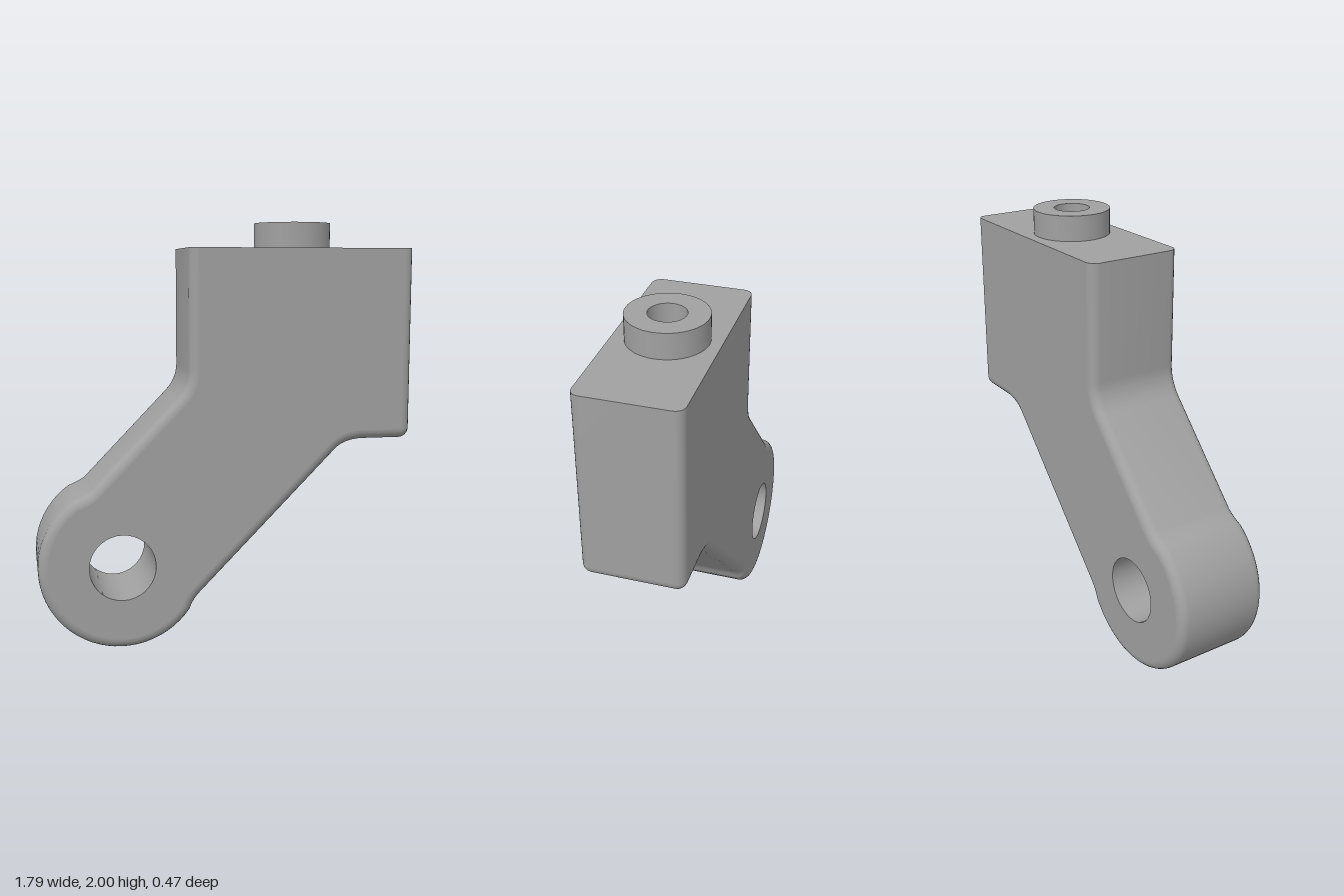
import * as THREE from 'three';
import { toCreasedNormals } from 'three/addons/utils/BufferGeometryUtils.js';

const TOP = 1.88, HALF = 0.235, ROUND = 0.045;
const EYE = { x: -0.507, y: 0.395, r: 0.393, bore: 0.157 };

// Side outline: block on top, slanted arm, round eye at the lower end
function armShape() {
  const s = new THREE.Shape();
  const over = TOP + ROUND + 0.02; // trimmed flat afterwards
  s.moveTo(0.895, over);
  s.lineTo(-0.185, over);
  s.lineTo(-0.185, 1.32);
  s.quadraticCurveTo(-0.185, 1.24, -0.245, 1.18);
  s.lineTo(-0.65, 0.76);
  const a = THREE.MathUtils.degToRad(125), b = THREE.MathUtils.degToRad(325);
  s.quadraticCurveTo(-0.68, 0.737, EYE.x + EYE.r * Math.cos(a), EYE.y + EYE.r * Math.sin(a));
  s.absarc(EYE.x, EYE.y, EYE.r, a, b, false);
  s.quadraticCurveTo(-0.17, 0.215, -0.135, 0.25);
  s.lineTo(0.527, 0.925);
  s.quadraticCurveTo(0.575, 0.972, 0.67, 0.972);
  s.lineTo(0.845, 0.972);
  s.absarc(0.845, 1.022, 0.05, -Math.PI / 2, 0, false);
  s.lineTo(0.895, over);
  const hole = new THREE.Path();
  hole.absarc(EYE.x, EYE.y, EYE.bore, 0, Math.PI * 2, true);
  s.holes.push(hole);
  return s;
}

function armGeometry() {
  let geo = new THREE.ExtrudeGeometry(armShape(), {
    depth: 2 * (HALF - ROUND), curveSegments: 18, bevelEnabled: true,
    bevelThickness: ROUND, bevelSize: ROUND, bevelOffset: -ROUND, bevelSegments: 5,
  });
  geo.translate(0, 0, ROUND - HALF);
  const p = geo.attributes.position;
  for (let i = 0; i < p.count; i++) {
    // Sharp flat top
    if (p.getY(i) > TOP) p.setY(i, TOP);
    // Straight bore with sharp rims
    const dx = p.getX(i) - EYE.x, dy = p.getY(i) - EYE.y, d = Math.hypot(dx, dy);
    if (d < 0.25) {
      p.setX(i, EYE.x + dx * EYE.bore / d);
      p.setY(i, EYE.y + dy * EYE.bore / d);
    }
  }
  geo = toCreasedNormals(geo, 0.6);
  // Keep the two large faces perfectly flat
  const q = geo.attributes.position, n = geo.attributes.normal;
  for (let i = 0; i < q.count; i += 3) {
    const z = q.getZ(i);
    const flat = [0, 1, 2].every((k) => Math.abs(q.getZ(i + k) - z) < 1e-5);
    if (flat && Math.abs(z) > HALF - 1e-4) {
      for (let k = 0; k < 3; k++) n.setXYZ(i + k, 0, 0, Math.sign(z));
    }
  }
  return geo;
}

export function createModel() {
  const group = new THREE.Group();
  group.name = 'armBracket';
  const grey = new THREE.MeshStandardMaterial({ color: 0xa0a0a0 });
  grey.name = 'plainGrey';

  const arm = new THREE.Mesh(armGeometry(), grey);
  arm.name = 'bracketArm';
  group.add(arm);

  // Round boss with a bore, standing on the block
  const profile = [[0.183, 0], [0.183, 0.12], [0.085, 0.12], [0.085, 0.002], [0, 0.002]]
    .map(([x, y]) => new THREE.Vector2(x, y));
  const boss = new THREE.Mesh(toCreasedNormals(new THREE.LatheGeometry(profile, 48), 0.6), grey);
  boss.name = 'topBoss';
  boss.position.set(0.355, TOP, 0);
  group.add(boss);
  return group;
}
